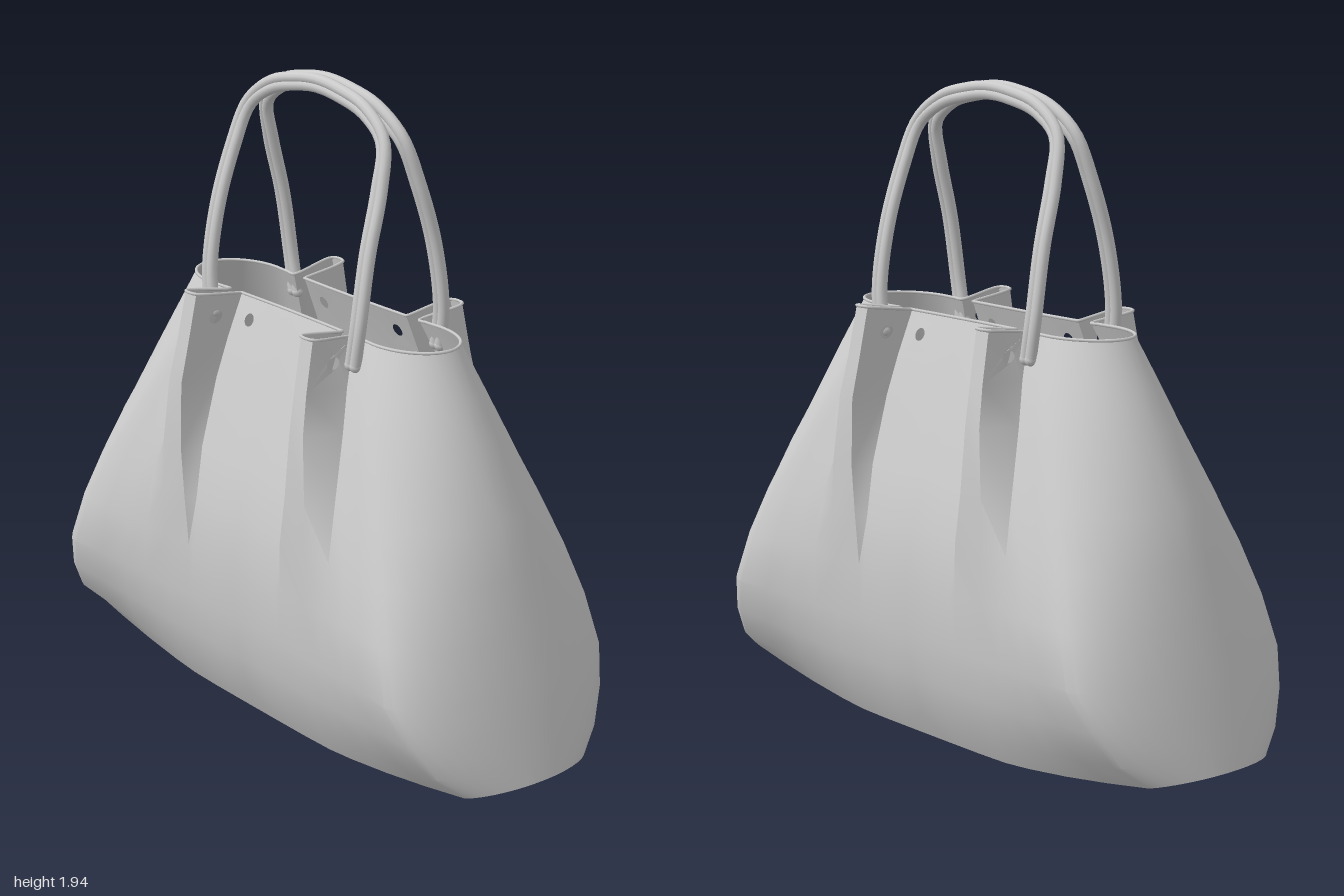
import * as THREE from 'three';
import { toCreasedNormals } from 'three/addons/utils/BufferGeometryUtils.js';

const material = new THREE.MeshStandardMaterial({ color: 0xcccccc, side: THREE.DoubleSide });
const lerp = THREE.MathUtils.lerp;
const V = (x, y, z) => new THREE.Vector3(x, y, z);

// Rows of the body from base to rim:
// height, half width mid, half width at corner, corner z, end z, end roundness,
// pleat x (0 = no pleat), then z of the pleat's inner foot, tip and outer foot
const ROWS = [
  [0.00, 0.245, 0.228, 0.92, 1.000, 0.65, 0, 0.20, 0.34, 0.44],
  [0.08, 0.285, 0.305, 0.87, 0.985, 0.55, 0, 0.20, 0.34, 0.44],
  [0.20, 0.320, 0.362, 0.82, 0.960, 0.5, 0, 0.20, 0.34, 0.44],
  [0.33, 0.335, 0.396, 0.77, 0.932, 0.5, 0, 0.20, 0.34, 0.44],
  [0.50, 0.338, 0.376, 0.72, 0.890, 0.52, 0, 0.20, 0.34, 0.44],
  [0.65, 0.318, 0.338, 0.66, 0.845, 0.55, 0.346, 0.21, 0.35, 0.435],
  [0.80, 0.275, 0.295, 0.58, 0.795, 0.58, 0.342, 0.235, 0.345, 0.41],
  [1.00, 0.205, 0.228, 0.48, 0.700, 0.58, 0.330, 0.25, 0.325, 0.365],
  [1.12, 0.165, 0.182, 0.43, 0.638, 0.55, 0.307, 0.245, 0.312, 0.33],
  [1.25, 0.115, 0.126, 0.39, 0.565, 0.5, 0.278, 0.24, 0.305, 0.295],
];

// One quarter of a row, from the middle of the side round to the middle of the end
function quarterRow([y, wm, wc, lc, end, round, pleat, zi, zt, zo], j) {
  const top = j === ROWS.length - 1;
  const wall = (z) => wm + (wc - wm) * (z / lc) ** 2.4;
  const at = (x, z, up = 0) => {
    const lift = 0.09 * Math.max(0, (z - 0.3) / 0.7) ** 1.4 * Math.max(0, 1 - y / 0.5);
    return V(x, y + lift + up, z);
  };
  const points = [0, 0.11, zi - 0.004, zi].map((z) => at(wall(z), z));
  for (const z of [lerp(zi, zt, 0.18), zt]) {
    points.push(at(pleat || wall(z), z, top ? 0.022 : 0));
  }
  for (const f of [0, 0.33, 0.67, 1]) {
    const z = lerp(zo, lc, f);
    points.push(at(wall(z), z));
  }
  for (let k = 1; k <= 8; k++) {
    const u = Math.cos((k / 8) * Math.PI / 2);
    points.push(at(k === 8 ? 0 : wc * u, lc + (end - lc) * (1 - u * u) ** round));
  }
  return points;
}

// Unit square with an eyelet hole at u, stretched over a four-cornered patch
function holedPatch(a, b, c, d, u, tri) {
  const r = 0.02;
  const shape = new THREE.Shape([[0, 0], [1, 0], [1, 1], [0, 1]].map((p) => new THREE.Vector2(...p)));
  const hole = new THREE.Path();
  hole.absellipse(u, 0.5, r / a.distanceTo(b), r / a.distanceTo(d), 0, Math.PI * 2);
  shape.holes.push(hole);
  const g = new THREE.ShapeGeometry(shape, 8);
  const p = g.attributes.position;
  const map = (i) => a.clone().lerp(b, p.getX(i)).lerp(d.clone().lerp(c, p.getX(i)), p.getY(i));
  const idx = g.index.array;
  for (let i = 0; i < idx.length; i += 3) tri(map(idx[i]), map(idx[i + 2]), map(idx[i + 1]));
}

// Eyelet position across each holed column: side panel, inner and outer pleat flank
const EYELETS = { 1: 0.5, 3: 0.45, 5: 0.57 };

function bodyGeometry(rows) {
  const tris = [];
  const tri = (a, b, c) => tris.push([a, b, c]);
  const last = rows.length - 2;
  for (let j = 0; j <= last; j++) {
    for (let i = 0; i < rows[j].length - 1; i++) {
      const a = rows[j][i], b = rows[j][i + 1], c = rows[j + 1][i + 1], d = rows[j + 1][i];
      if (j === last && EYELETS[i]) holedPatch(a, b, c, d, EYELETS[i], tri);
      else {
        tri(a, d, b);
        tri(b, d, c);
      }
    }
  }
  // floor
  const base = rows[0];
  for (let i = 0; i < base.length - 1; i++) {
    const a = base[i], b = base[i + 1];
    const ca = V(0, a.y, a.z), cb = V(0, b.y, b.z);
    tri(a, b, ca);
    if (i < base.length - 2) tri(b, cb, ca);
  }
  // mirror the quarter into all four
  const pos = [];
  for (const [sx, sz] of [[1, 1], [-1, 1], [1, -1], [-1, -1]]) {
    for (const [a, b, c] of tris) {
      for (const p of sx * sz > 0 ? [a, b, c] : [a, c, b]) pos.push(p.x * sx, p.y, p.z * sz);
    }
  }
  const g = new THREE.BufferGeometry();
  g.setAttribute('position', new THREE.Float32BufferAttribute(pos, 3));
  return toCreasedNormals(g, 0.6);
}

function mesh(geometry, name) {
  const m = new THREE.Mesh(geometry, material);
  m.name = name;
  return m;
}

// Bound edge following the top of the body
function rimGeometry(q) {
  const flip = (sx, sz) => (p) => V(p.x * sx, p.y, p.z * sz);
  const loop = [
    ...q,
    ...q.slice(0, -1).reverse().map(flip(-1, 1)),
    ...q.slice(1).map(flip(-1, -1)),
    ...q.slice(1, -1).reverse().map(flip(1, -1)),
  ];
  return new THREE.TubeGeometry(new THREE.CatmullRomCurve3(loop, true), 300, 0.005, 6, true);
}

// Handle made of two cords laid side by side, leaning in towards the middle
function handle(side) {
  const group = new THREE.Group();
  group.name = side > 0 ? 'leftHandle' : 'rightHandle';
  const half = [
    [0.158, 1.18, 0.347], [0.154, 1.3, 0.365], [0.122, 1.5, 0.364], [0.07, 1.68, 0.352],
    [0.034, 1.81, 0.318], [0.022, 1.885, 0.22], [0.019, 1.916, 0.1],
  ];
  for (const inset of [0, 0.022]) {
    const place = ([x, y, z], s) => {
      const bend = THREE.MathUtils.smoothstep(y, 1.7, 1.9);
      return V(side * x, y - inset * bend, s * (z - inset * (1 - bend * 0.8)));
    };
    const path = [
      ...half.map((p) => place(p, 1)),
      V(side * 0.019, 1.926 - inset, 0),
      ...half.map((p) => place(p, -1)).reverse(),
    ];
    group.add(mesh(new THREE.TubeGeometry(new THREE.CatmullRomCurve3(path), 72, 0.017, 10), 'handleCord'));
    for (const end of [path[0], path[path.length - 1]]) {
      const cap = mesh(new THREE.SphereGeometry(0.018, 10, 8), 'handleEnd');
      cap.position.copy(end);
      group.add(cap);
    }
  }
  return group;
}

export function createModel() {
  const model = new THREE.Group();
  model.name = 'handbag';
  const rows = ROWS.map(quarterRow);
  model.add(
    mesh(bodyGeometry(rows), 'bagBody'),
    mesh(rimGeometry(rows[rows.length - 1]), 'topRim'),
    handle(1),
    handle(-1),
  );
  return model;
}
